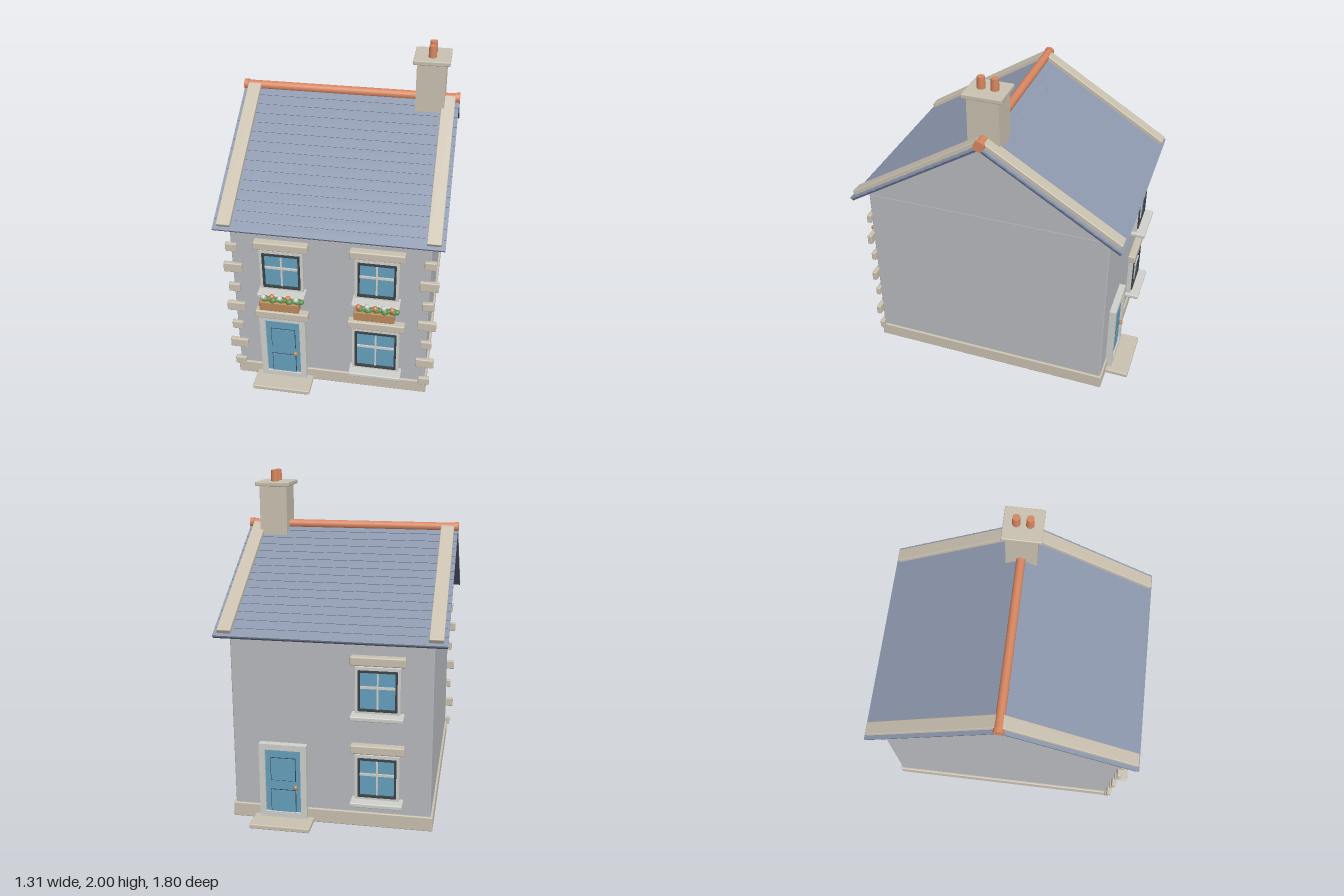
import * as THREE from 'three';
import { RoundedBoxGeometry } from 'three/addons/geometries/RoundedBoxGeometry.js';

const mat = (name, color, side = THREE.FrontSide) => {
  const m = new THREE.MeshStandardMaterial({ color, side });
  m.name = name;
  return m;
};
const M = {
  stone: mat('stone', 0xc9c0af),
  wall: mat('wall render', 0xb6b9be),
  slate: mat('slate', 0x8c97ad),
  darkSlate: mat('dark slate', 0x59627c),
  clay: mat('terracotta', 0xd6855f),
  blue: mat('blue', 0x669fbe),
  trim: mat('pale trim', 0xcfcfcb),
  dark: mat('dark sash', 0x3b4349),
  wood: mat('wood', 0xba8a5c),
  green: mat('leaf green', 0x5c9650),
};
const CX = -0.004; // centre line of the house

function add(parent, name, geo, material, x = 0, y = 0, z = 0) {
  const m = new THREE.Mesh(geo, material);
  m.name = name;
  m.position.set(x, y, z);
  parent.add(m);
  return m;
}

function group(parent, name) {
  const g = new THREE.Group();
  g.name = name;
  parent.add(g);
  return g;
}

// box given by its min/max extents; r > 0 softens the edges
function box(parent, name, material, x0, x1, y0, y1, z0, z1, r = 0) {
  const s = [x1 - x0, y1 - y0, z1 - z0];
  const geo = r ? new RoundedBoxGeometry(...s, 2, r) : new THREE.BoxGeometry(...s);
  return add(parent, name, geo, material, (x0 + x1) / 2, (y0 + y1) / 2, (z0 + z1) / 2);
}

// four bars around a rectangle, w wide
function frame(parent, name, material, x0, x1, y0, y1, w, z0, z1) {
  box(parent, name, material, x0, x0 + w, y0, y1, z0, z1);
  box(parent, name, material, x1 - w, x1, y0, y1, z0, z1);
  box(parent, name, material, x0 + w, x1 - w, y1 - w, y1, z0, z1);
  box(parent, name, material, x0 + w, x1 - w, y0, y0 + w, z0, z1);
}

// window on a wall plane at local z = 0
function addWindow(parent, cx, y0, y1, w, lintelW, sillW) {
  const g = group(parent, 'window');
  g.position.x = cx;
  const h = w / 2, t = 0.017;
  frame(g, 'windowFrame', M.trim, -h, h, y0, y1, t + 0.004, -0.01, 0.03);
  frame(g, 'sash', M.dark, -h + t, h - t, y0 + t, y1 - t, 0.012, -0.005, 0.038);
  box(g, 'glass', M.blue, -h + 0.026, h - 0.026, y0 + 0.025, y1 - 0.025, 0.017, 0.024);
  const barY = y0 + (y1 - y0) * 0.57;
  box(g, 'glazingBar', M.trim, -h + 0.028, h - 0.028, barY - 0.007, barY + 0.007, 0.02, 0.032);
  box(g, 'glazingBar', M.trim, -0.005, 0.005, y0 + 0.028, y1 - 0.028, 0.02, 0.031);
  box(g, 'lintel', M.stone, -lintelW / 2, lintelW / 2, y1 + 0.01, y1 + 0.062, -0.01, 0.045, 0.008);
  box(g, 'sill', M.trim, -sillW / 2, sillW / 2, y0 - 0.025, y0 + 0.001, -0.01, 0.09, 0.006);
}

// door with surround, panels, knob and step
function addDoor(parent, cx, top, lintel) {
  const g = group(parent, 'door');
  g.position.x = cx;
  frame(g, 'doorFrame', M.trim, -0.14, 0.14, 0.04, top, 0.035, -0.01, 0.04);
  box(g, 'doorLeaf', M.blue, -0.106, 0.106, 0.042, top - 0.03, -0.01, 0.026);
  for (const [a, b] of [[0.05, 0.215], [0.27, 0.415]]) {
    frame(g, 'panelGroove', M.dark, -0.075, 0.075, a, b, 0.004, 0.02, 0.027);
    box(g, 'doorPanel', M.blue, -0.071, 0.071, a + 0.004, b - 0.004, 0.02, 0.031);
  }
  add(g, 'knob', new THREE.SphereGeometry(0.014, 14, 10), M.wood, 0.074, 0.238, 0.04);
  box(g, 'step', M.stone, -0.178, 0.178, 0.014, 0.042, -0.01, 0.153, 0.006);
  box(g, 'stepFooting', M.stone, -0.14, 0.14, 0, 0.02, -0.02, 0.1);
  if (lintel) box(g, 'doorLintel', M.stone, -0.161, 0.161, top - 0.01, top + 0.042, -0.01, 0.048, 0.008);
}

// planter with a row of leaves and alternating blossoms
function addFlowerBox(parent, cx, first) {
  const g = group(parent, 'flowerBox');
  g.position.x = cx;
  box(g, 'planter', M.wood, -0.117, 0.117, 0.637, 0.697, 0.062, 0.13, 0.004);
  const leaf = new THREE.SphereGeometry(0.021, 10, 8);
  const bloom = new THREE.SphereGeometry(0.016, 10, 8);
  for (let i = 0; i < 5; i++) {
    const x = -0.085 + i * 0.048;
    add(g, 'leaf', leaf, M.green, x, 0.705, 0.103 + (i % 2) * 0.008);
    add(g, 'blossom', bloom, (i + first) % 2 ? M.clay : M.trim, x - 0.006, 0.73, 0.12 - (i % 2) * 0.008);
    add(g, 'leaf', leaf, M.green, x + 0.022, 0.702, 0.1).scale.setScalar(0.75);
  }
}

// one roof slope, running from the ridge down local +z
function addSlope(parent, facing) {
  const turn = group(parent, 'roofSlope');
  turn.position.y = 1.665;
  turn.rotation.y = facing;
  const g = group(turn, 'slopePlane');
  g.rotation.x = 0.555;
  const cx = facing ? -CX : CX;
  const len = 0.975, rows = 15, pitch = len / rows;
  box(g, 'roofDeck', M.darkSlate, cx - 0.65, cx + 0.65, -0.022, -0.008, 0, len);
  // overlapping courses, each tilted a little
  for (let i = 0; i < rows; i++) {
    const row = box(g, 'slateCourse', M.slate, cx - 0.652, cx + 0.652, -0.01, 0, i * pitch, (i + 1) * pitch + 0.004);
    row.rotation.x = -0.05;
  }
  for (const s of [-1, 1])
    box(g, 'vergeStone', M.stone, cx + s * 0.589 - 0.04, cx + s * 0.589 + 0.04, -0.005, 0.026, 0, 0.957, 0.005);
}

export function createModel() {
  const house = new THREE.Group();
  house.name = 'house';

  // walls, plinth and gable
  box(house, 'walls', M.wall, CX - 0.579, CX + 0.579, 0.03, 1.15, -0.745, 0.745, 0.006);
  box(house, 'plinth', M.stone, CX - 0.592, CX + 0.592, 0.012, 0.1, -0.757, 0.757, 0.006);
  const tri = new THREE.Shape();
  tri.moveTo(-0.745, 1.148);
  tri.lineTo(0.745, 1.148);
  tri.lineTo(0, 1.635);
  const gable = new THREE.ExtrudeGeometry(tri, { depth: 1.158, bevelEnabled: false });
  gable.translate(0, 0, -0.579).rotateY(Math.PI / 2);
  add(house, 'gable', gable, M.wall, CX, 0, 0);

  // corner stones, alternating short and long
  for (let i = 0; i < 7; i++) {
    const long = i % 2, w = long ? 0.055 : 0.034, h = long ? 0.031 : 0.027;
    const y = 0.107 + i * 0.1457;
    for (const s of [-1, 1]) {
      const x = CX + s * 0.576;
      box(house, 'cornerStone', M.stone, x - w, x + w, y - h, y + h, 0.735, 0.764, 0.006);
    }
  }

  // front openings
  const front = group(house, 'frontWall');
  front.position.z = 0.745;
  addWindow(front, -0.283, 0.72, 0.992, 0.256, 0.318, 0.28);
  addWindow(front, 0.274, 0.72, 0.992, 0.256, 0.318, 0.28);
  addWindow(front, 0.274, 0.178, 0.485, 0.284, 0.34, 0.318);
  addDoor(front, -0.294, 0.514, true);
  addFlowerBox(front, -0.283, 0);
  addFlowerBox(front, 0.273, 1);

  // back openings
  const back = group(house, 'backWall');
  back.position.z = -0.745;
  back.rotation.y = Math.PI;
  addWindow(back, 0.274, 0.72, 0.992, 0.256, 0.31, 0.3);
  addWindow(back, 0.274, 0.195, 0.468, 0.256, 0.31, 0.3);
  addDoor(back, -0.276, 0.5, false);

  // roof and ridge
  addSlope(house, 0);
  addSlope(house, Math.PI);
  const ridge = (name, r, len, x) =>
    add(house, name, new THREE.CylinderGeometry(r, r, len, 24).rotateZ(Math.PI / 2), M.clay, x, 1.667, -0.004);
  ridge('ridgeTile', 0.027, 1.3, CX);
  for (const s of [-1, 1]) ridge('ridgeEnd', 0.032, 0.025, CX + s * 0.643);

  // chimney
  box(house, 'chimneyStack', M.stone, 0.394, 0.564, 1.5, 1.912, -0.095, 0.092);
  box(house, 'chimneyCap', M.stone, 0.373, 0.585, 1.906, 1.932, -0.117, 0.114, 0.005);
  for (const z of [-0.042, 0.037])
    add(house, 'chimneyPot', new THREE.CylinderGeometry(0.022, 0.024, 0.08, 20), M.clay, 0.478, 1.96, z);

  return house;
}
